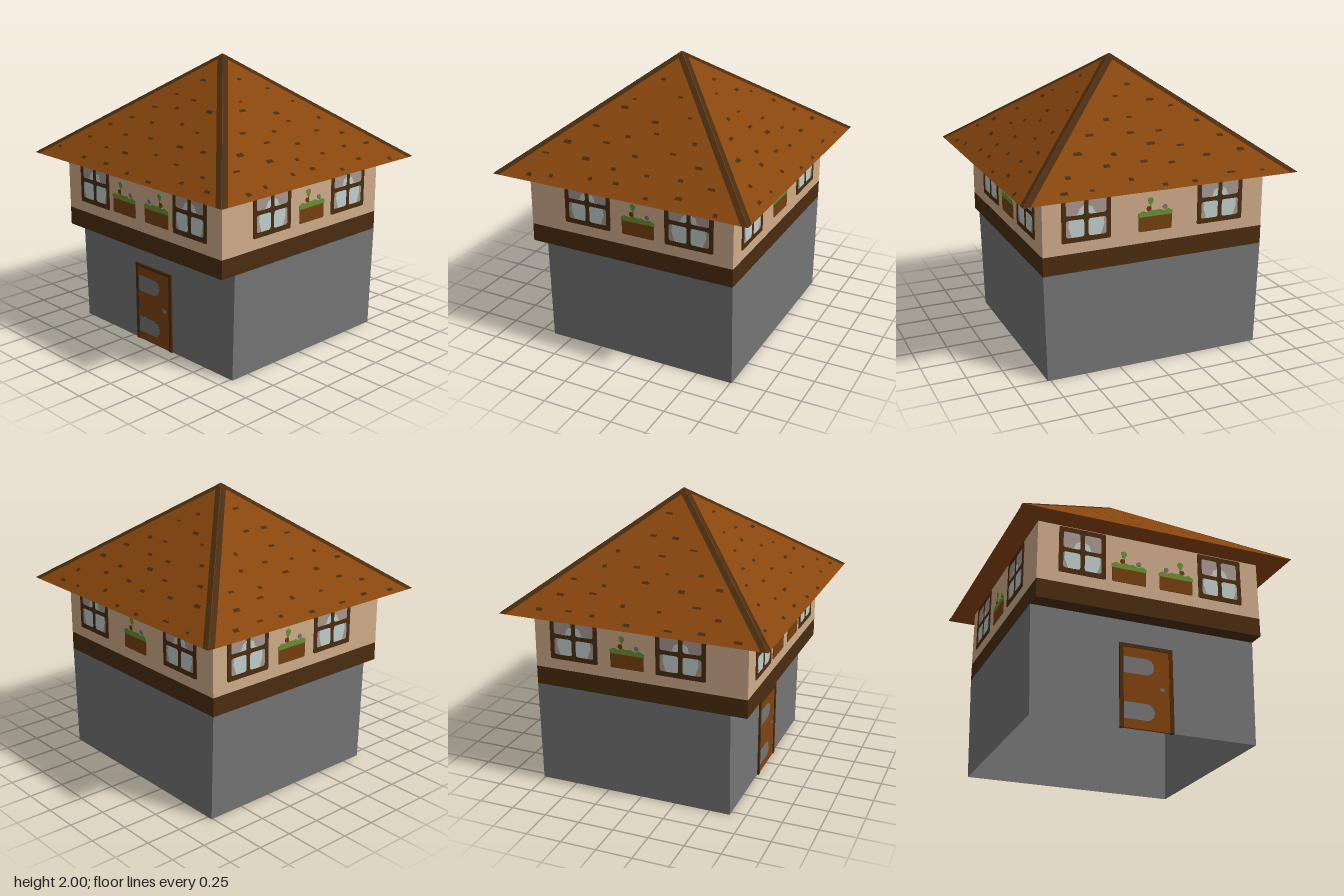
import * as THREE from 'three';

const mat = (name, color) => {
  const m = new THREE.MeshStandardMaterial({ color, side: THREE.DoubleSide });
  m.name = name;
  return m;
};

const M = {
  stone: mat('stone grey', 0x757575),
  plaster: mat('plaster tan', 0xcfab89),
  timber: mat('dark timber', 0x4a2c10),
  roof: mat('roof brown', 0x88460d),
  door: mat('door brown', 0x80420f),
  planter: mat('planter brown', 0x74400f),
  leaf: mat('leaf green', 0x6a8f34),
  curtain: mat('curtain white', 0xc0cecb),
  shade: mat('window shade', 0xa8978f),
  flower: mat('flower red', 0x7a2e10),
};

function add(parent, name, geo, material, x = 0, y = 0, z = 0) {
  const mesh = new THREE.Mesh(geo, material);
  mesh.name = name;
  mesh.position.set(x, y, z);
  parent.add(mesh);
  return mesh;
}

const box = (w, h, d) => new THREE.BoxGeometry(w, h, d);

// flat-shaded four-cornered faces, corners counter-clockwise
function quads(list) {
  const pos = [];
  for (const [a, b, c, d] of list) for (const p of [a, b, c, a, c, d]) pos.push(...p);
  const g = new THREE.BufferGeometry();
  g.setAttribute('position', new THREE.Float32BufferAttribute(pos, 3));
  g.computeVertexNormals();
  return g;
}

// open ring of four walls; bottom and top may differ in x
function wallRing([b0, b1], [t0, t1], [z0, z1], [y0, y1]) {
  const low = [[b0, y0, z1], [b1, y0, z1], [b1, y0, z0], [b0, y0, z0]];
  const top = [[t0, y1, z1], [t1, y1, z1], [t1, y1, z0], [t0, y1, z0]];
  return quads(low.map((p, i) => [p, low[(i + 1) % 4], top[(i + 1) % 4], top[i]]));
}

// thin plate centred on z = 0, so it shows on both sides of a wall
function plate(shape, half) {
  const g = new THREE.ExtrudeGeometry(shape, { depth: half * 2, bevelEnabled: false, curveSegments: 6 });
  return g.translate(0, 0, -half);
}

const outline = (pts) => new THREE.Shape(pts.map(([x, y]) => new THREE.Vector2(x, y)));

function rounded(path, x, y, w, h, r) {
  path.moveTo(x + r, y).lineTo(x + w - r, y).quadraticCurveTo(x + w, y, x + w, y + r);
  path.lineTo(x + w, y + h - r).quadraticCurveTo(x + w, y + h, x + w - r, y + h);
  path.lineTo(x + r, y + h).quadraticCurveTo(x, y + h, x, y + h - r);
  path.lineTo(x, y + r).quadraticCurveTo(x, y, x + r, y);
  return path;
}

function makeWindow(width) {
  const g = new THREE.Group();
  g.name = 'window';
  const w = width / 2, h = 0.166, pane = w - 0.045;
  add(g, 'windowShade', box(width - 0.04, 0.29, 0.006), M.shade);
  // gathered curtain with a rounded top
  const curtain = outline([[-0.1, -0.135], [0.1, -0.135], [0.125, -0.06], [0.115, 0.01], [0.06, 0.02],
    [0.045, 0.06], [0.015, 0.075], [-0.015, 0.075], [-0.045, 0.06], [-0.06, 0.02], [-0.115, 0.01], [-0.125, -0.06]]);
  add(g, 'curtain', plate(curtain, 0.004), M.curtain);
  const frame = rounded(new THREE.Shape(), -w, -h, width, h * 2, 0.012);
  for (const x of [-pane - 0.015, 0.015])
    for (const y of [-0.132, 0.015]) frame.holes.push(rounded(new THREE.Path(), x, y, pane, 0.118, 0.018));
  add(g, 'windowFrame', plate(frame, 0.0049), M.timber);
  return g;
}

function makePlanter() {
  const g = new THREE.Group();
  g.name = 'flowerBox';
  add(g, 'planterBox', plate(rounded(new THREE.Shape(), -0.12, -0.05, 0.24, 0.11, 0.01), 0.004), M.planter);
  // uneven greenery along the top
  const tops = [0.075, 0.09, 0.08, 0.093, 0.088, 0.094, 0.083, 0.092, 0.076];
  const green = outline([[-0.125, 0.05], [0.125, 0.05], ...tops.map((y, i) => [0.125 - i * 0.03125, y])]);
  add(g, 'greenery', plate(green, 0.0045), M.leaf);
  add(g, 'stem', box(0.01, 0.07, 0.008), M.leaf, -0.035, 0.12, 0);
  const leaf = outline([[-0.012, 0.135], [0.008, 0.135], [0.022, 0.16], [0.015, 0.175], [0, 0.182], [-0.022, 0.172]]);
  leaf.closePath();
  add(g, 'leaf', plate(leaf, 0.0045), M.leaf, -0.035);
  for (const [x, m] of [[-0.047, M.flower], [0.07, M.stone]]) {
    const disc = new THREE.Shape().absarc(0, 0, 0.017, 0, Math.PI * 2);
    add(g, 'flower', plate(disc, 0.0049), m, x, 0.105, 0);
  }
  return g;
}

function makeDoor() {
  const g = new THREE.Group();
  g.name = 'door';
  add(g, 'doorPanel', box(0.33, 0.555, 0.016), M.door, -0.01, 0.2775, 0);
  for (const x of [-0.187, 0.163]) add(g, 'doorPost', box(0.026, 0.575, 0.028), M.timber, x, 0.2875, 0);
  add(g, 'doorLintel', box(0.376, 0.024, 0.028), M.timber, -0.012, 0.563, 0);
  // inset panels with one round end
  for (const y of [0.06, 0.37]) {
    const s = new THREE.Shape();
    s.moveTo(-0.172, y).lineTo(-0.015, y).absarc(-0.015, y + 0.057, 0.057, -Math.PI / 2, Math.PI / 2);
    s.lineTo(-0.172, y + 0.114);
    add(g, 'doorInset', plate(s, 0.0095), M.stone);
  }
  add(g, 'doorKnob', box(0.03, 0.022, 0.024), M.stone, 0.098, 0.285, 0);
  return g;
}

function makeRoof() {
  const g = new THREE.Group();
  g.name = 'roof';
  let seed = 7;
  const rnd = () => (seed = (seed * 16807) % 2147483647) / 2147483647;
  const apex = new THREE.Vector3(0, 2, 0);
  const c = [[-0.97, 0.932], [0.97, 0.932], [0.97, -0.932], [-0.97, -0.932]].map(([x, z]) => new THREE.Vector3(x, 1.28, z));
  const slopes = [], hips = [], marks = [];
  c.forEach((B, i) => {
    const C = c[(i + 1) % 4];
    const mid = B.clone().add(C).multiplyScalar(0.5);
    const along = C.clone().sub(B), up = apex.clone().sub(mid);
    const normal = along.clone().cross(up).normalize();
    // u: -0.5..0.5 along the eave, v: 0..1 up to the apex
    const at = (u, v, lift) => mid.clone().addScaledVector(along, u).addScaledVector(up, v)
      .addScaledVector(normal, lift).toArray();
    slopes.push([at(-0.5, 0, 0), at(0.5, 0, 0), at(0, 1, 0), at(0, 1, 0)]);
    const t = 0.026;
    hips.push([at(-0.5, 0, 0.003), at(-0.5 + t, 0, 0.003), at(0, 1 - 2 * t, 0.003), at(0, 1, 0.003)]);
    hips.push([at(0.5 - t, 0, 0.003), at(0.5, 0, 0.003), at(0, 1, 0.003), at(0, 1 - 2 * t, 0.003)]);
    // scattered worn shingle marks, in rows
    for (let r = 0; r < 7; r++) {
      const v = 0.06 + r * 0.12, n = 7 - r;
      for (let k = 0; k < n; k++) {
        const u = ((k + 0.3 + rnd() * 0.4) / n - 0.5) * (0.94 - v), dv = v + (rnd() - 0.5) * 0.07;
        const w = 0.008 + rnd() * 0.008, h = 0.006 + rnd() * 0.006;
        marks.push([at(u - w, dv - h, 0.002), at(u + w, dv - h, 0.002), at(u + w * 0.8, dv + h, 0.002), at(u - w, dv + h, 0.002)]);
      }
    }
  });
  add(g, 'roofSlopes', quads(slopes), M.roof);
  add(g, 'hipStrips', quads(hips), M.timber);
  add(g, 'shingleMarks', quads(marks), M.timber);
  return g;
}

export function createModel() {
  const house = new THREE.Group();
  house.name = 'house';
  const X = [-0.81, 0.79], Z = [-0.76, 0.76];

  // storeys and the timber band between them
  add(house, 'lowerWalls', wallRing([-0.79, 0.77], X, [-0.76, 0.645], [0, 0.74]), M.stone);
  add(house, 'timberBand', wallRing(X, X, Z, [0.74, 0.87]), M.timber);
  add(house, 'upperWalls', wallRing(X, X, Z, [0.87, 1.285]), M.plaster);
  add(house, 'overhangSoffit', quads([[[X[0], 0.74, 0.645], [X[1], 0.74, 0.645], [X[1], 0.74, 0.76], [X[0], 0.74, 0.76]]]), M.timber);

  const door = makeDoor();
  door.position.z = 0.643;
  house.add(door);

  // windows and flower boxes; offsets run left to right as seen from outside
  const sides = [
    { name: 'front', pos: [0, 0.76], turn: 0, windows: [-0.503, 0.494], width: 0.325, boxes: [[-0.175, 1], [0.165, -1]] },
    { name: 'left', pos: [0.79, 0], turn: Math.PI / 2, windows: [-0.31, 0.447], width: 0.35, boxes: [[0.074, 1]] },
    { name: 'back', pos: [0, -0.76], turn: Math.PI, windows: [-0.49, 0.48], width: 0.34, boxes: [[0, 1]] },
    { name: 'right', pos: [-0.81, 0], turn: -Math.PI / 2, windows: [-0.47, 0.3], width: 0.35, boxes: [[-0.08, 1]] },
  ];
  for (const s of sides) {
    const g = new THREE.Group();
    g.name = s.name + 'Openings';
    g.position.set(s.pos[0], 0, s.pos[1]);
    g.rotation.y = s.turn;
    for (const x of s.windows) {
      const w = makeWindow(s.width);
      w.position.set(x, 1.112, 0);
      g.add(w);
    }
    for (const [x, flip] of s.boxes) {
      const p = makePlanter();
      p.position.set(x, 1, 0);
      p.scale.x = flip;
      g.add(p);
    }
    house.add(g);
  }

  house.add(makeRoof());
  return house;
}
